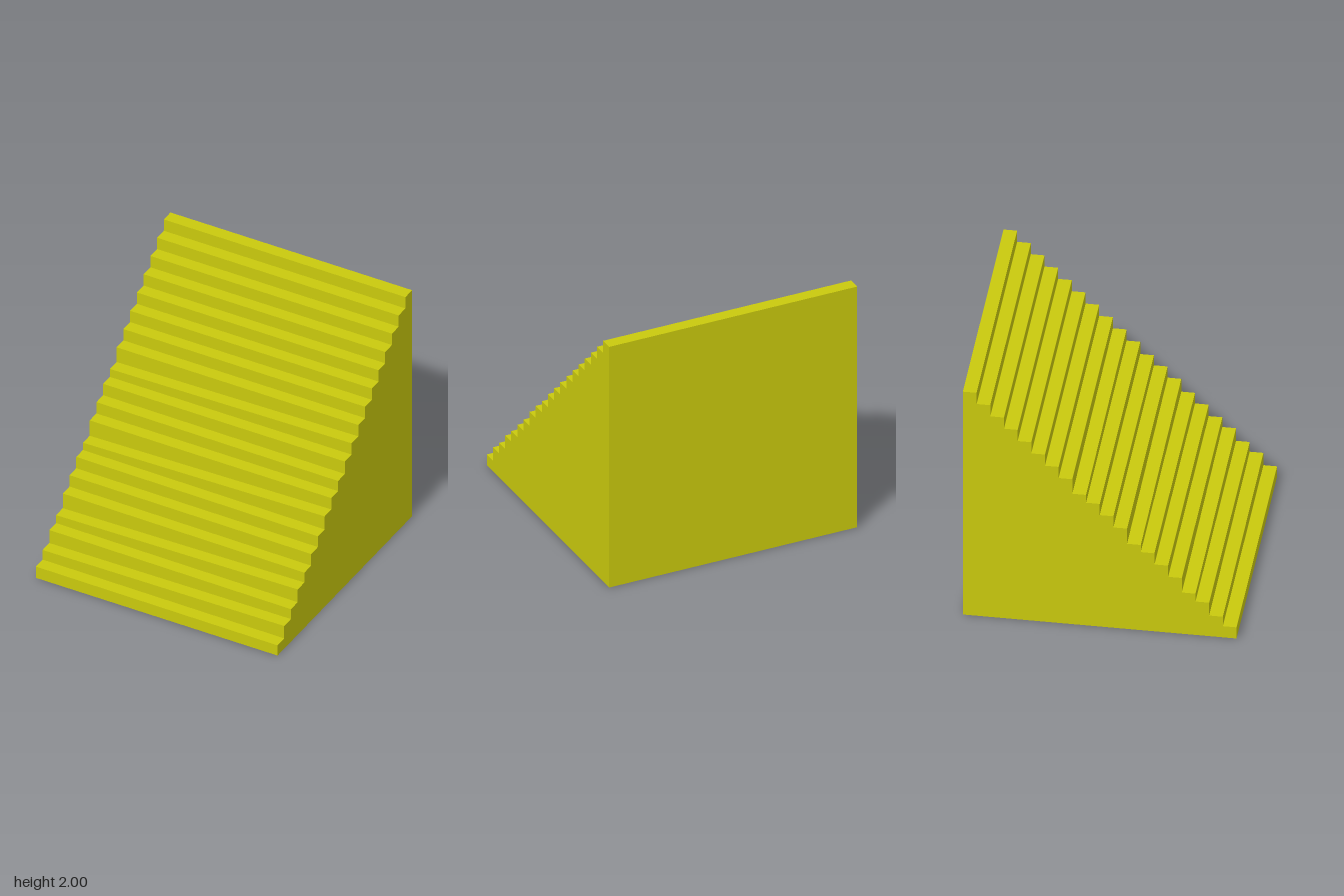
import * as THREE from 'three';

const STEPS = 20;
const SIZE = 0.1; // rise and run of one step

// Treads worn down at one end: step number -> drop at the right (-x) and left (+x) end
const wear = {
  1: [0, 0.01], 2: [0.015, 0], 3: [0, 0.013], 4: [0.03, 0], 5: [0, 0.013],
  6: [0, 0.01], 7: [0, 0.015], 8: [0.036, 0], 10: [0, 0.01], 12: [0.03, 0],
};

// Heights of a tread at its -x and +x ends
function treadHeights(n) {
  const [right, left] = wear[n] || [0, 0];
  return [n * SIZE - right, n * SIZE - left];
}

// Flat-sided geometry from four-cornered faces, listed counter-clockwise
function fromQuads(quads) {
  const points = quads.flatMap(([a, b, c, d]) => [a, b, c, a, c, d]);
  const geometry = new THREE.BufferGeometry();
  geometry.setAttribute('position', new THREE.Float32BufferAttribute(points.flat(), 3));
  geometry.computeVertexNormals();
  return geometry;
}

export function createModel() {
  const group = new THREE.Group();
  group.name = 'staircase';
  const yellow = new THREE.MeshStandardMaterial({ color: 0xc9c90d });
  yellow.name = 'yellow';

  const treads = [], risers = [], sides = [];
  for (let n = 1; n <= STEPS; n++) {
    const front = 1 - (n - 1) * SIZE;
    const back = 1 - n * SIZE;
    const [r, l] = treadHeights(n);
    const [r0, l0] = treadHeights(n - 1);
    treads.push([[-1, r, front], [1, l, front], [1, l, back], [-1, r, back]]);
    risers.push([[-1, r0, front], [1, l0, front], [1, l, front], [-1, r, front]]);
    // Upright strip of each side wall below this tread
    sides.push([[1, 0, front], [1, 0, back], [1, l, back], [1, l, front]]);
    sides.push([[-1, 0, back], [-1, 0, front], [-1, r, front], [-1, r, back]]);
  }

  const parts = {
    treads,
    risers,
    sideWalls: sides,
    backWall: [[[1, 0, -1], [-1, 0, -1], [-1, 2, -1], [1, 2, -1]]],
    underside: [[[-1, 0, -1], [1, 0, -1], [1, 0, 1], [-1, 0, 1]]],
  };
  for (const [name, quads] of Object.entries(parts)) {
    const mesh = new THREE.Mesh(fromQuads(quads), yellow);
    mesh.name = name;
    group.add(mesh);
  }
  return group;
}
